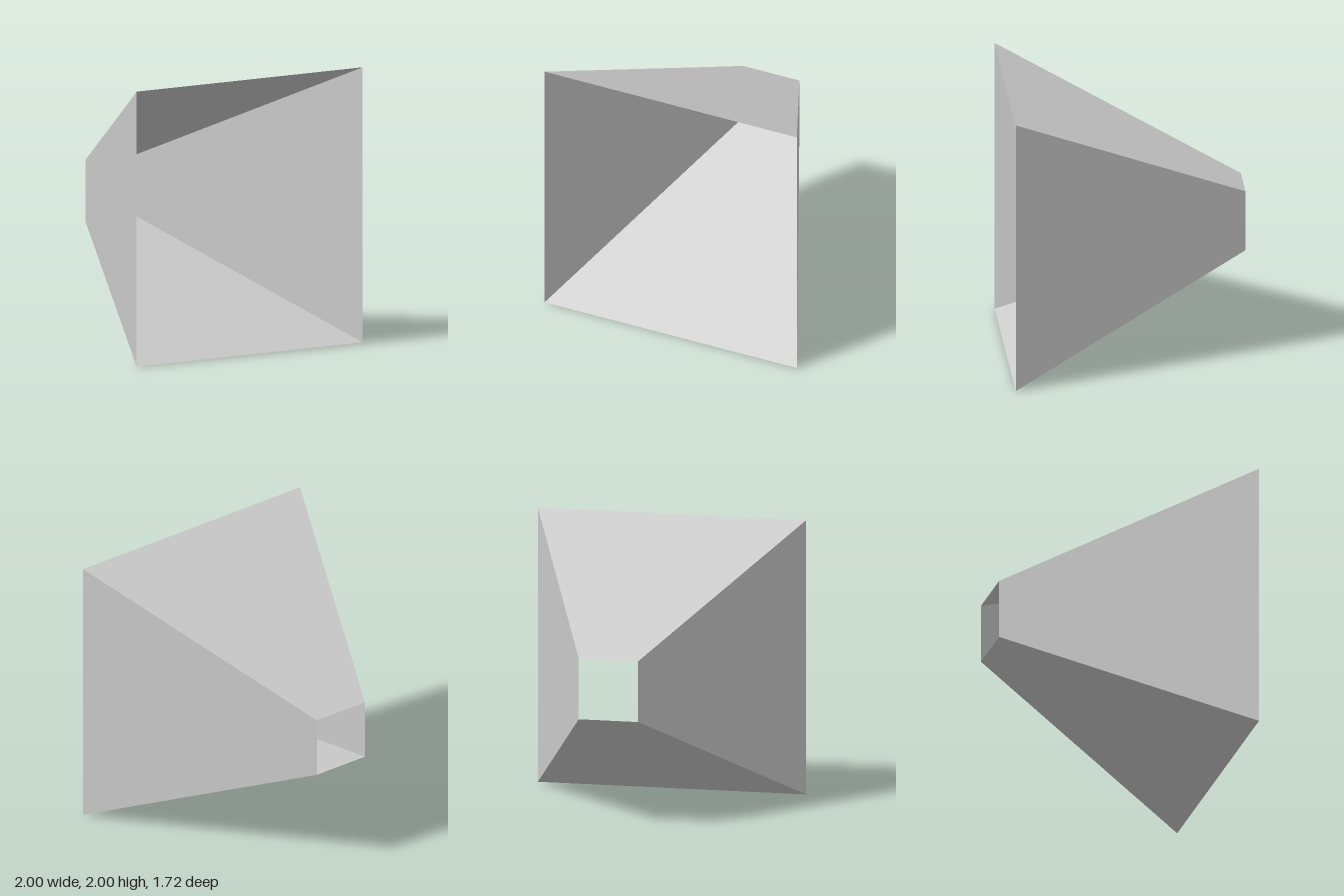
import * as THREE from 'three';

export function createModel() {
  const group = new THREE.Group();
  const grey = new THREE.MeshStandardMaterial({ color: 0xcccccc, flatShading: true, side: THREE.DoubleSide });
  grey.name = 'light grey';

  // Four-sided tapered tube, open at both ends, wide mouth facing +z
  const frontHalf = 1, backHalf = 0.222, depth = 1.715;
  const shell = new THREE.CylinderGeometry(
    frontHalf * Math.SQRT2, backHalf * Math.SQRT2, depth, 4, 1, true, Math.PI / 4
  ).toNonIndexed();
  shell.rotateX(Math.PI / 2);
  shell.translate(0, frontHalf, 0);
  shell.computeVertexNormals();

  const mesh = new THREE.Mesh(shell, grey);
  mesh.name = 'taperedShell';
  group.add(mesh);
  return group;
}
